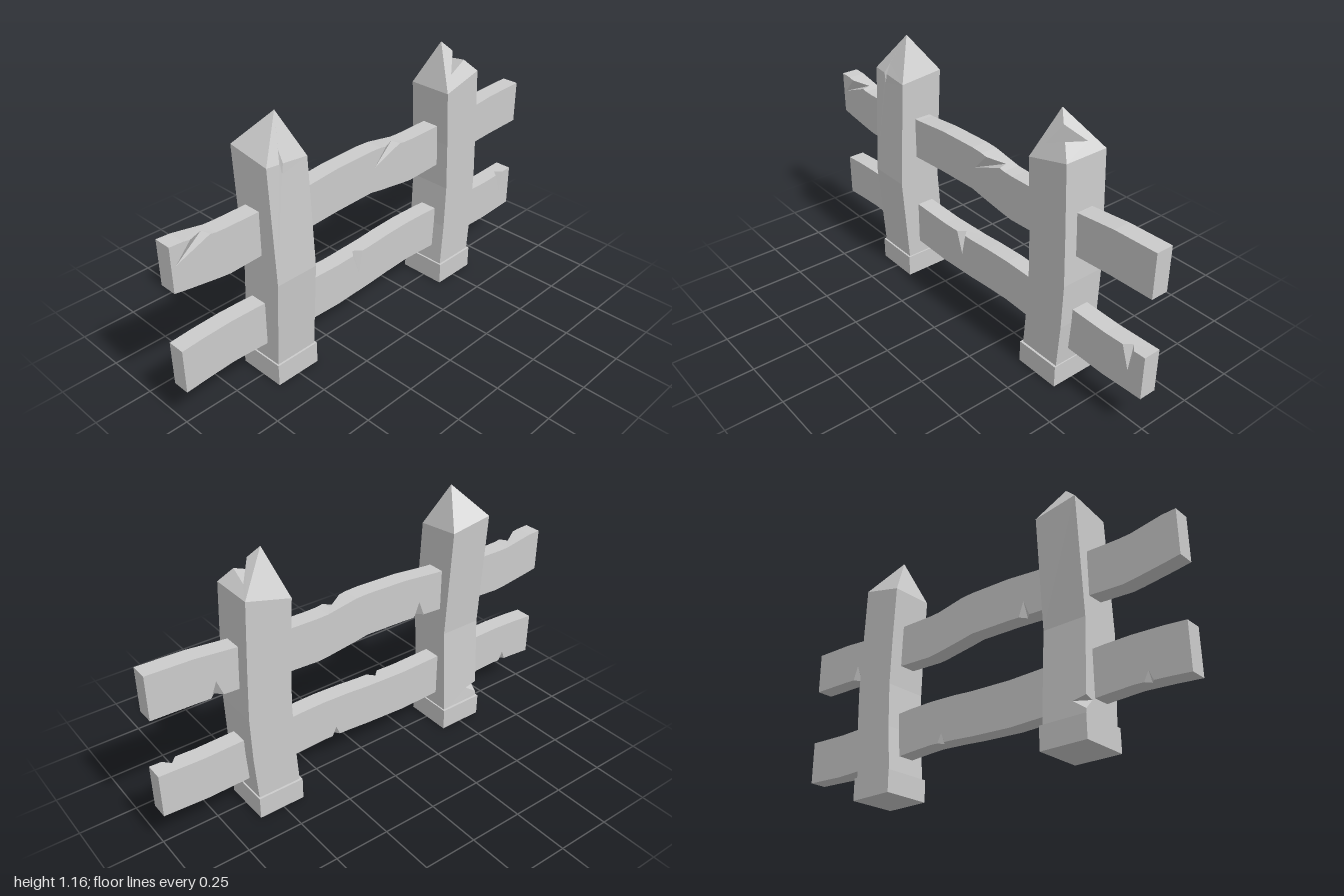
import * as THREE from 'three';

const V = (x, y, z) => new THREE.Vector3(x, y, z);
const material = new THREE.MeshStandardMaterial({ color: 0xcccccc, flatShading: true });

// Turns flat polygons (corner loops, counter-clockwise from outside) into one mesh
function meshFromFaces(name, faces) {
  const points = [];
  for (const face of faces) {
    const normal = V(0, 0, 0);
    face.forEach((p, i) => normal.add(p.clone().cross(face[(i + 1) % face.length])));
    normal.normalize();
    const side = V(0, 1, 0);
    if (Math.abs(normal.y) > 0.8) side.set(0, 0, 1);
    const u = side.cross(normal).normalize();
    const v = normal.clone().cross(u);
    const flat = face.map((p) => new THREE.Vector2(p.dot(u), p.dot(v)));
    for (const tri of THREE.ShapeUtils.triangulateShape(flat, [])) {
      points.push(...tri.map((i) => face[i]));
    }
  }
  const geometry = new THREE.BufferGeometry().setFromPoints(points);
  geometry.computeVertexNormals();
  const mesh = new THREE.Mesh(geometry, material);
  mesh.name = name;
  return mesh;
}

// Cuts a splinter out of edge u-v; q lies on the face running u to v, r on its neighbour
function chip(faces, u, v, t1, t2, q, r) {
  const p1 = u.clone().lerp(v, t1);
  const p2 = u.clone().lerp(v, t2);
  const insert = (a, b, extra) => {
    const face = faces.find((f) => f.some((p, i) => p === a && f[(i + 1) % f.length] === b));
    face.splice(face.indexOf(a) + 1, 0, ...extra);
  };
  insert(u, v, [p1, q, p2]);
  insert(v, u, [p2, r, p1]);
  faces.push([p1, r, q], [p2, q, r]);
}

// Bent square post with a pointed cap
function post(name, cx, bends, tops, peak, addChips) {
  const corners = [[-1, 1], [1, 1], [1, -1], [-1, -1]];
  const rings = bends.map(([y, dx, dz], i) => corners.map(([sx, sz], k) =>
    V(cx + dx + sx * 0.099, i === bends.length - 1 ? tops[k] : y, -0.01 + dz + sz * 0.1)));
  const top = rings[rings.length - 1];
  const faces = [[...rings[0]].reverse()];
  for (let s = 0; s < 4; s++) {
    const n = (s + 1) % 4;
    for (let i = 0; i < rings.length - 1; i++) {
      faces.push([rings[i][s], rings[i][n], rings[i + 1][n], rings[i + 1][s]]);
    }
    faces.push([top[s], top[n], peak]);
  }
  addChips(faces, rings, top);
  const group = new THREE.Group();
  group.name = name;
  const base = new THREE.Mesh(new THREE.BoxGeometry(0.212, 0.1, 0.22), material);
  base.name = 'postBase';
  base.position.set(cx, 0.05, -0.01);
  group.add(meshFromFaces('postBody', faces), base);
  return group;
}

// Wavy plank: rows of [x, top, bottom] for one unit of length, repeated twice
function rail(name, rows, addChips) {
  const zf = 0.031, zb = -0.047;
  const n = rows.length;
  const all = [-1, 0].flatMap((o) => rows.map(([x, t, b]) => [x + o, t, b]));
  all.push([1, rows[0][1], rows[0][2]]);
  const edge = (k, z) => all.map((row) => V(row[0], row[k], z));
  const tf = edge(1, zf), tb = edge(1, zb), bf = edge(2, zf), bb = edge(2, zb);
  const last = all.length - 1;
  const faces = [
    [...bf, ...[...tf].reverse()],
    [...tb, ...[...bb].reverse()],
    [bf[last], bb[last], tb[last], tf[last]],
    [bb[0], bf[0], tf[0], tb[0]],
  ];
  for (let i = 0; i < last; i++) {
    faces.push([tf[i], tf[i + 1], tb[i + 1], tb[i]]);
    faces.push([bb[i], bb[i + 1], bf[i + 1], bf[i]]);
  }
  for (let k = 0; k < 2; k++) addChips(faces, tf, bb, k * n, k - 1, zf, zb);
  return meshFromFaces(name, faces);
}

export function createModel() {
  const model = new THREE.Group();
  model.name = 'fence';

  // Right post bows forward
  model.add(post('rightPost', -0.502,
    [[0.08, 0, 0], [0.5, 0, 0.028], [1, 0, 0]],
    [1.0, 0.98, 1.0, 1.03], V(-0.48, 1.165, 0.006),
    (faces, rings, top) => {
      chip(faces, top[1], top[0], 0.6, 0.69, V(-0.53, 0.95, 0.092), V(-0.523, 1.04, 0.067));
      chip(faces, rings[0][3], rings[1][3], 0.1, 0.23, V(-0.54, 0.165, -0.104), V(-0.601, 0.165, -0.065));
    }));

  // Left post bows sideways
  model.add(post('leftPost', 0.507,
    [[0.08, 0, 0], [0.3, 0.016, 0], [0.5, 0.022, 0], [0.72, 0.014, 0], [1, 0, 0]],
    [0.97, 1.02, 1.02, 0.97], V(0.47, 1.165, -0.01),
    (faces, rings, top) => {
      chip(faces, top[1], faces.at(-1)[2], 0.38, 0.69, V(0.46, 1.035, 0.061), V(0.573, 1.055, -0.047));
    }));

  // Rails with splinters on the front top and back bottom edges
  model.add(rail('upperRail', [
    [0, 0.825, 0.63], [0.06, 0.822, 0.62], [0.2, 0.797, 0.6], [0.25, 0.795, 0.595],
    [0.4, 0.797, 0.602], [0.62, 0.803, 0.615], [0.8, 0.82, 0.625],
  ], (faces, tf, bb, i, o, zf, zb) => {
    chip(faces, tf[i + 2], tf[i + 1], 0.18, 0.79, V(o + 0.02, 0.74, zf), V(o + 0.165, 0.803, -0.01));
    chip(faces, bb[i + 6], bb[i + 5], 0.3, 0.6, V(o + 0.72, 0.69, zb), V(o + 0.72, 0.62, -0.02));
  }));
  model.add(rail('lowerRail', [
    [0, 0.367, 0.17], [0.1, 0.375, 0.178], [0.23, 0.38, 0.185], [0.35, 0.378, 0.18],
    [0.6, 0.365, 0.165], [0.8, 0.36, 0.16],
  ], (faces, tf, bb, i, o, zf, zb) => {
    chip(faces, tf[i + 6], tf[i + 5], 0.265, 0.55, V(o + 0.925, 0.26, zf), V(o + 0.918, 0.364, 0));
    chip(faces, bb[i + 2], bb[i + 1], 0.3, 0.6, V(o + 0.17, 0.225, zb), V(o + 0.17, 0.182, -0.025));
  }));

  return model;
}
